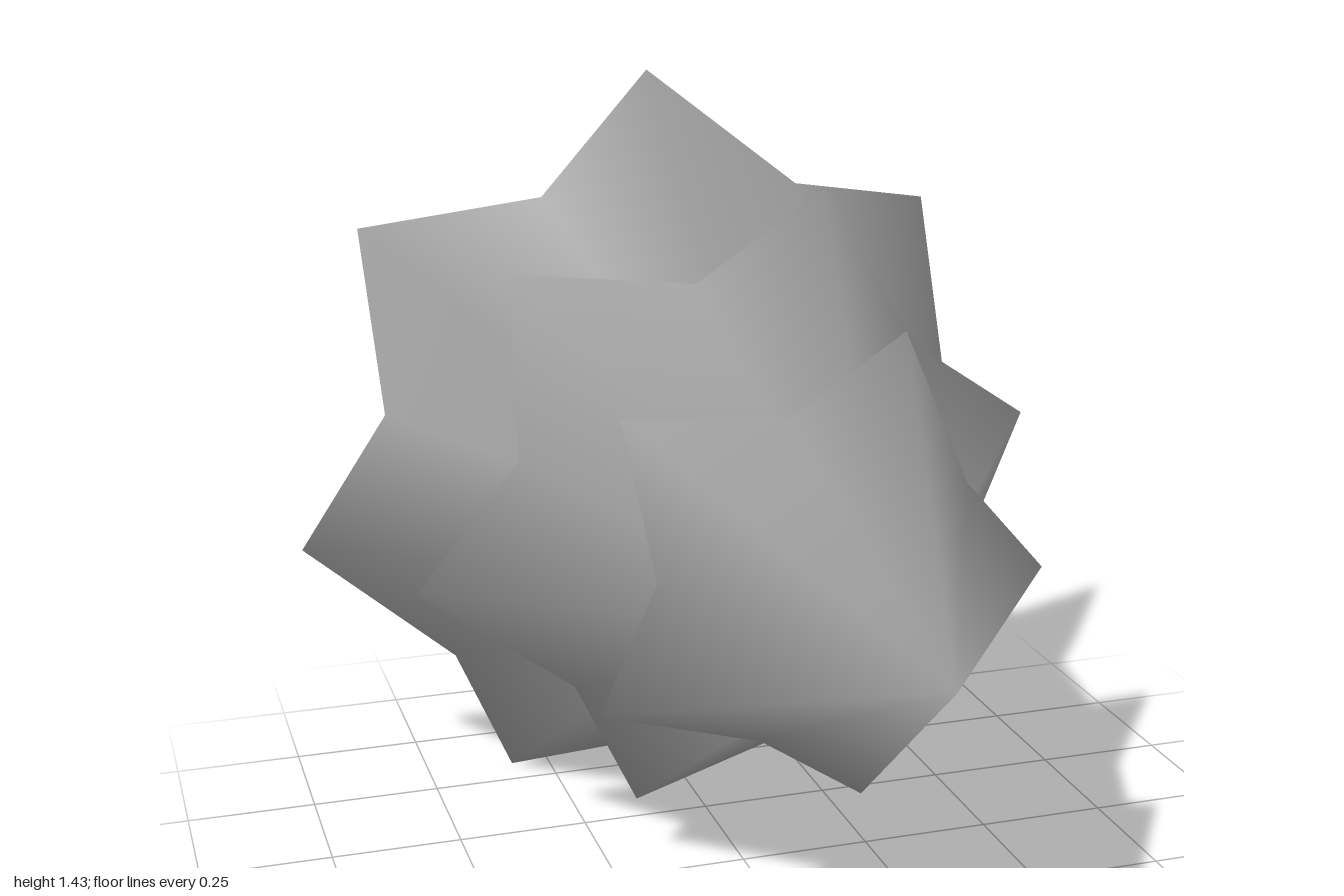
import * as THREE from 'three';

const grey = new THREE.MeshStandardMaterial({ color: 0xc0c0c0, side: THREE.DoubleSide });
grey.name = 'plain grey';

// Smooth vertex normals, each face weighted by its corner angle
function smoothByAngle(points, index) {
  const normals = points.map(() => new THREE.Vector3());
  for (let i = 0; i < index.length; i += 3) {
    const corners = index.slice(i, i + 3);
    const [a, b, c] = corners.map((k) => points[k]);
    const face = new THREE.Triangle(a, b, c).getNormal(new THREE.Vector3());
    corners.forEach((k, j) => {
      const toNext = points[corners[(j + 1) % 3]].clone().sub(points[k]);
      const toLast = points[corners[(j + 2) % 3]].clone().sub(points[k]);
      normals[k].addScaledVector(face, toNext.angleTo(toLast));
    });
  }
  return normals.map((n) => n.normalize());
}

// Star-brimmed cone along z with a shallow hollow underside
function makeTier({ name, spikes, start, apex, tip, valley, hollow }) {
  const n = spikes * 2;
  const points = [new THREE.Vector3(0, 0, apex), new THREE.Vector3(0, 0, hollow)];
  const index = [];
  for (let i = 0; i < n; i++) {
    const [radius, z] = i % 2 ? valley : tip;
    const angle = THREE.MathUtils.degToRad(start) + (i / n) * Math.PI * 2;
    points.push(new THREE.Vector3(radius * Math.cos(angle), radius * Math.sin(angle), z));
    const a = 2 + i;
    const b = 2 + ((i + 1) % n);
    index.push(0, a, b, 1, b, a);
  }
  const normals = smoothByAngle(points, index);
  const geometry = new THREE.BufferGeometry().setFromPoints(points);
  geometry.setAttribute('normal', new THREE.Float32BufferAttribute(normals.flatMap((v) => v.toArray()), 3));
  geometry.setIndex(index);
  const mesh = new THREE.Mesh(geometry, grey);
  mesh.name = name;
  return mesh;
}

export function createModel() {
  const tree = new THREE.Group();
  tree.name = 'fallenTree';

  // Foliage: tips and valleys are [radius, z]
  const tiers = [
    { name: 'topTier', spikes: 5, start: -5.5, apex: 1, tip: [0.43, 0.365], valley: [0.29, 0.445], hollow: 0.54 },
    { name: 'middleTier', spikes: 6, start: 11.5, apex: 0.75, tip: [0.603, -0.09], valley: [0.44, 0.015], hollow: 0.14 },
    { name: 'bottomTier', spikes: 7, start: 90, apex: 0.37, tip: [0.752, -0.602], valley: [0.592, -0.445], hollow: -0.31 },
  ];
  for (const tier of tiers) tree.add(makeTier(tier));

  // Four-sided open trunk, widening toward its foot
  const trunkGeometry = new THREE.CylinderGeometry(0.085, 0.202, 0.993, 4, 1, true);
  trunkGeometry.rotateX(Math.PI / 2).rotateZ(0.14).translate(0, 0, -0.4965);
  const trunk = new THREE.Mesh(trunkGeometry, grey);
  trunk.name = 'trunk';
  tree.add(trunk);

  // Lying along z, tip slightly raised
  tree.rotation.x = -0.035;
  tree.position.y = 0.705;

  const model = new THREE.Group();
  model.name = 'model';
  model.add(tree);
  return model;
}
